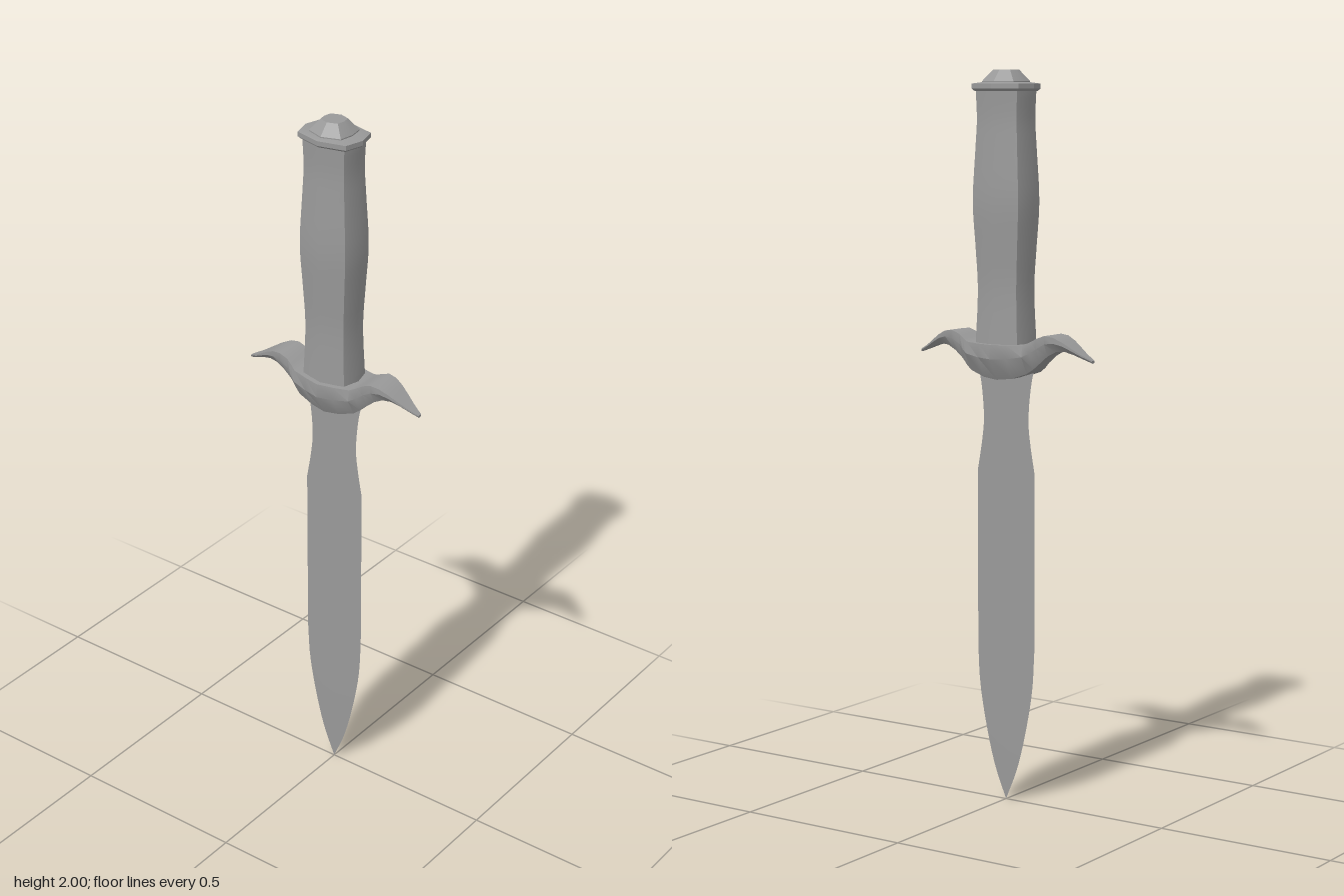
import * as THREE from 'three';
import { toCreasedNormals } from 'three/addons/utils/BufferGeometryUtils.js';

const material = new THREE.MeshStandardMaterial({ color: 0x999999 });

// Skin closed rings of [x, y, z] points, counter-clockwise seen from the last ring's end, with capped ends
function loft(name, rings, crease) {
  const n = rings[0].length;
  const index = [];
  for (let i = 0; i < rings.length - 1; i++) {
    for (let j = 0; j < n; j++) {
      const a = i * n + j, b = i * n + (j + 1) % n;
      index.push(a, b, b + n, a, b + n, a + n);
    }
  }
  const last = (rings.length - 1) * n;
  for (let j = 1; j < n - 1; j++) {
    index.push(0, j + 1, j);
    index.push(last, last + j, last + j + 1);
  }
  const geometry = new THREE.BufferGeometry();
  geometry.setAttribute('position', new THREE.Float32BufferAttribute(rings.flat(2), 3));
  geometry.setIndex(index);
  const mesh = new THREE.Mesh(toCreasedNormals(geometry, crease), material);
  mesh.name = name;
  return mesh;
}

// Smooth a short profile of [a, b] pairs into more points
function smooth(points, count) {
  const curve = new THREE.CatmullRomCurve3(points.map(([a, b]) => new THREE.Vector3(a, b, 0)), false, 'centripetal');
  return curve.getPoints(count).map((p) => [p.x, p.y]);
}

// Eight-sided ring: shallow ridges on each face, pronounced corners between them
function octagon(y, w, d, cornerX = 0.84, cornerZ = 0.74) {
  const x = w * cornerX, z = d * cornerZ;
  return [[w, y, 0], [x, y, -z], [0, y, -d], [-x, y, -z], [-w, y, 0], [-x, y, z], [0, y, d], [x, y, z]];
}

export function createModel() {
  const model = new THREE.Group();
  model.name = 'dagger';

  // Blade: very thin diamond section, leaf point and narrowed neck
  const point = smooth([[0, 0.005], [0.035, 0.09], [0.062, 0.19], [0.086, 0.32], [0.093, 0.43]], 14);
  const neck = smooth([[0.093, 0.92], [0.079, 1.0], [0.073, 1.06], [0.08, 1.15], [0.092, 1.21]], 14);
  const bladeRings = [...point, ...neck].map(([w, y]) => {
    const t = 0.0015 * Math.min(1, w / 0.07);
    return [[w, y, 0], [0, y, -t], [-w, y, 0], [0, y, t]];
  });
  model.add(loft('blade', bladeRings, 0.6));

  // Guard: stations of [x, top, bottom, half depth, half depth of top] mirrored to both arms
  const half = [
    [0, 1.272, 1.175, 0.078, 0.077], [0.045, 1.272, 1.18, 0.069, 0.067], [0.09, 1.274, 1.195, 0.06, 0.056],
    [0.108, 1.282, 1.208, 0.051, 0.047], [0.125, 1.292, 1.224, 0.042, 0.042], [0.15, 1.301, 1.245, 0.042, 0.042],
    [0.175, 1.298, 1.258, 0.039, 0.039], [0.2, 1.286, 1.26, 0.033, 0.033], [0.225, 1.27, 1.253, 0.025, 0.025],
    [0.25, 1.254, 1.243, 0.016, 0.016], [0.279, 1.239, 1.232, 0.006, 0.006],
  ];
  const mirrored = half.slice(1).reverse().map(([x, ...rest]) => [-x, ...rest]);
  const guardRings = [...mirrored, ...half].map(([x, top, bottom, d, e]) => {
    const waist = THREE.MathUtils.lerp(bottom, top, 0.6);
    return [[x, top, -e], [x, top, e], [x, waist, d], [x, bottom, d * 0.58], [x, bottom, -d * 0.58], [x, waist, -d]];
  });
  model.add(loft('guard', guardRings, 0.55));

  // Grip: gently swelling octagonal handle
  const grip = smooth([[0.081, 1.25], [0.074, 1.42], [0.08, 1.53], [0.087, 1.65], [0.08, 1.79], [0.076, 1.87], [0.079, 1.95]], 20);
  model.add(loft('grip', grip.map(([w, y]) => octagon(y, w, w * 0.79)), 0.6));

  // Collar: flange on top of the grip, nearly flat up to the pommel
  model.add(loft('collar', [
    octagon(1.944, 0.083, 0.064),
    octagon(1.95, 0.09, 0.071),
    octagon(1.963, 0.09, 0.071),
    octagon(1.967, 0.057, 0.057, 0.88, 0.69),
  ], 0.4));

  // Pommel: faceted cap with a flat top
  model.add(loft('pommel', [
    octagon(1.964, 0.057, 0.057, 0.88, 0.69),
    octagon(1.97, 0.057, 0.057, 0.88, 0.69),
    octagon(2.0, 0.031, 0.031, 0.88, 0.69),
  ], 0.4));

  return model;
}
